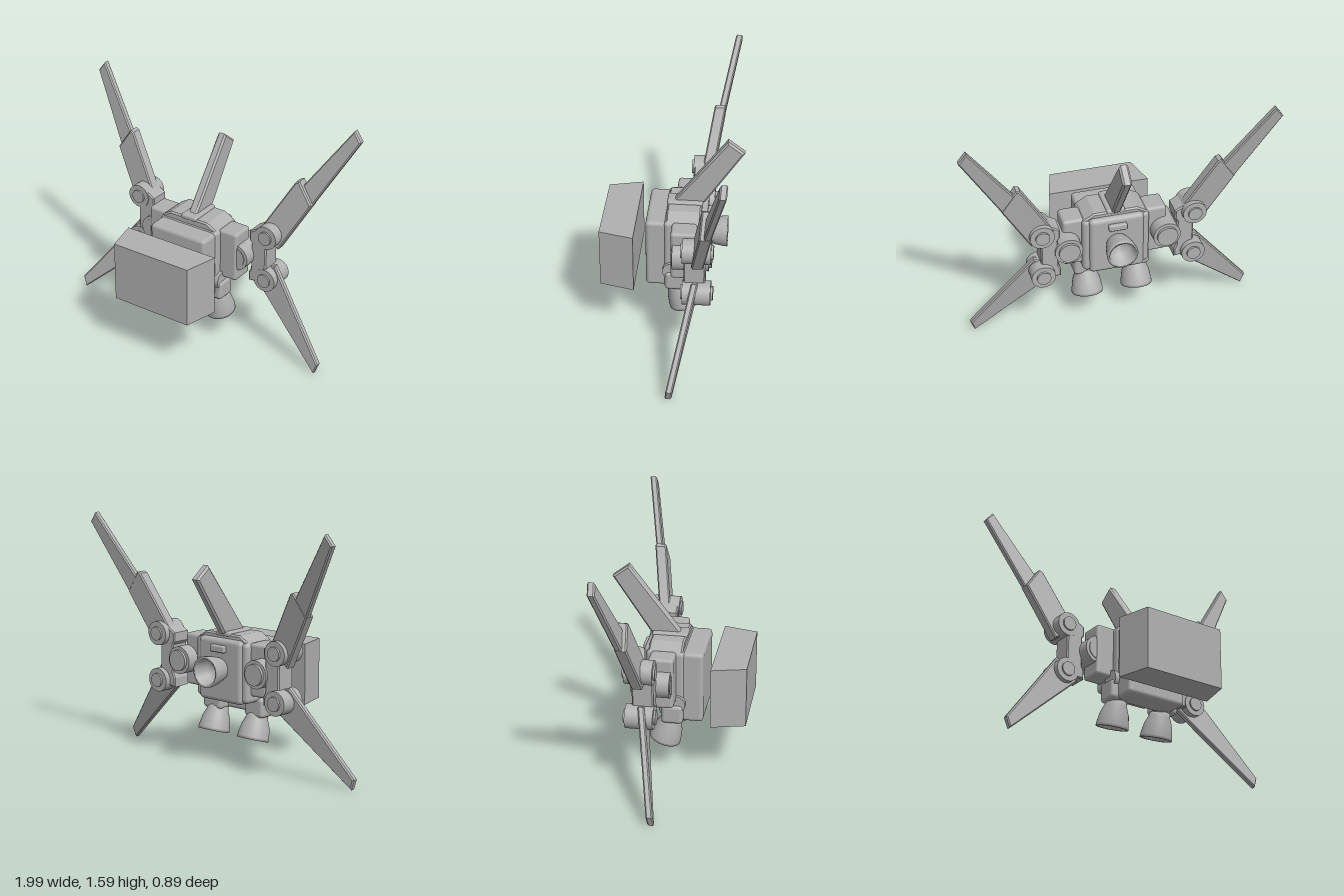
import * as THREE from 'three';
import { RoundedBoxGeometry } from 'three/addons/geometries/RoundedBoxGeometry.js';

export function createModel() {
  const grey = new THREE.MeshStandardMaterial({ color: 0xb0b0b0, side: THREE.DoubleSide });
  grey.name = 'light grey';
  const model = new THREE.Group();

  const add = (name, geo, x = 0, y = 0, z = 0) => {
    const m = new THREE.Mesh(geo, grey);
    m.name = name;
    m.position.set(x, y, z);
    model.add(m);
    return m;
  };
  // rounded box given by its limits
  const box = (name, x0, x1, y0, y1, z0, z1, r = 0.02) =>
    add(name, new RoundedBoxGeometry(x1 - x0, y1 - y0, z1 - z0, 2, r),
      (x0 + x1) / 2, (y0 + y1) / 2, (z0 + z1) / 2);
  // round pin along z
  const pin = (name, x, y, z0, z1, r) => {
    const g = new THREE.CylinderGeometry(r, r, z1 - z0, 32).rotateX(Math.PI / 2);
    return add(name, g, x, y, (z0 + z1) / 2);
  };
  // bevelled plate, centred on its own depth
  const plate = (pts, depth, bevel = 0.008) => {
    const shape = new THREE.Shape(pts.map(p => new THREE.Vector2(...p)));
    return new THREE.ExtrudeGeometry(shape, {
      depth: depth - 2 * bevel, bevelThickness: bevel, bevelSize: bevel,
      bevelOffset: -bevel, bevelSegments: 1,
    }).translate(0, 0, bevel - depth / 2);
  };
  // hollow engine bell opening towards -y
  const bell = (name, r0, r1, h, x, y, z, tilt) => {
    const profile = [[0, 0], [r0, 0], [r0 * 1.12, -h * 0.2], [r0 + (r1 - r0) * 0.7, -h * 0.5],
      [r1, -h * 0.9], [r1, -h], [r1 - 0.015, -h], [r0, -h * 0.4], [0, -h * 0.3]];
    const g = new THREE.LatheGeometry(profile.map(p => new THREE.Vector2(...p)).reverse(), 32);
    add(name, g, x, y, z).rotation.x = tilt;
  };

  // front shield, a tapered prism
  const shield = new THREE.Shape([[-0.335, -0.23], [0.335, -0.23], [0.28, -0.45], [-0.28, -0.45]]
    .map(p => new THREE.Vector2(...p)));
  add('frontShield', new THREE.ExtrudeGeometry(shield, { depth: 0.4, bevelEnabled: false })
    .rotateX(-Math.PI / 2), 0, 0.38, 0);

  // body
  box('chestBlock', -0.21, 0.21, 0.34, 0.82, -0.02, 0.165, 0.025);
  box('mainBody', -0.22, 0.22, 0.44, 0.83, -0.2, 0.05, 0.03);
  const top = plate([[-0.21, 0.82], [-0.2, 0.835], [-0.14, 0.87], [0.14, 0.87], [0.2, 0.835], [0.21, 0.82]], 0.22, 0.01);
  add('bodyTop', top, 0, 0, -0.075);
  box('finBase', -0.06, 0.06, 0.85, 0.885, -0.19, 0.04, 0.015);
  box('rearPanel', -0.18, 0.18, 0.43, 0.84, -0.22, -0.15, 0.03);
  box('rearVent', -0.06, 0.06, 0.755, 0.8, -0.245, -0.2, 0.01);
  bell('rearEngine', 0.068, 0.1, 0.15, 0, 0.645, -0.2, Math.PI / 2);

  // raked top fin
  const fin = plate([[0, 0.87], [0.2, 0.87], [0.445, 1.24], [0.34, 1.32]], 0.06, 0.012);
  add('topFin', fin.rotateY(Math.PI / 2));

  for (const s of [1, -1]) {
    const side = s > 0 ? 'left' : 'right';
    const span = (name, a, b, ...rest) => box(name, Math.min(s * a, s * b), Math.max(s * a, s * b), ...rest);

    // lower engine with its mount
    span(side + 'HipBlock', 0.1, 0.255, 0.335, 0.465, -0.1, 0.04, 0.025);
    add(side + 'HipRoller', new THREE.CylinderGeometry(0.06, 0.06, 0.14, 24).rotateZ(Math.PI / 2), s * 0.17, 0.47, -0.005);
    bell(side + 'LowerEngine', 0.062, 0.103, 0.18, s * 0.168, 0.36, -0.035, 0.3);

    // shoulder and wing bracket
    span(side + 'Shoulder', 0.2, 0.34, 0.49, 0.83, -0.165, -0.005, 0.02);
    pin(side + 'ShoulderJoint', s * 0.322, 0.66, -0.25, -0.02, 0.09);
    pin(side + 'ShoulderCap', s * 0.322, 0.66, -0.268, -0.015, 0.068);
    const bracket = [[0.375, 0.83], [0.43, 0.86], [0.5, 0.82], [0.5, 0.52], [0.44, 0.475],
      [0.375, 0.47], [0.375, 0.53], [0.39, 0.56], [0.39, 0.75], [0.375, 0.77]];
    add(side + 'WingBracket', plate(bracket.map(([x, y]) => [s * x, y]), 0.135), 0, 0, -0.168);

    // hinges
    for (const [level, y] of [['Upper', 0.818], ['Lower', 0.508]]) {
      pin(side + level + 'Hinge', s * 0.495, y, -0.272, -0.095, 0.078);
      pin(side + level + 'HingeCap', s * 0.495, y, -0.286, -0.083, 0.045);
    }

    // wings lean in depth along their length
    const wing = (name, pts, depth, y0, dir, z0, slope) => {
      const g = plate(pts.map(([x, y]) => [s * x, y]), depth);
      const p = g.attributes.position;
      for (let i = 0; i < p.count; i++) {
        const along = (s * p.getX(i) - 0.49) * dir[0] + (p.getY(i) - y0) * dir[1];
        p.setZ(i, p.getZ(i) + z0 + slope * along);
      }
      g.computeVertexNormals();
      add(side + name, g);
    };
    const up = [0.55, 0.835], down = [0.67, -0.74];
    wing('UpperWing', [[0.46, 0.88], [0.945, 1.585], [0.995, 1.52], [0.57, 0.76]], 0.045, 0.82, up, -0.195, -0.185);
    wing('UpperWingRoot', [[0.43, 0.86], [0.625, 1.2], [0.65, 1.21], [0.745, 1.07], [0.555, 0.727], [0.45, 0.79]],
      0.075, 0.82, up, -0.195, -0.15);
    wing('LowerWing', [[0.39, 0.47], [0.43, 0.56], [0.54, 0.6], [0.95, 0.07], [0.925, 0.0]], 0.042, 0.51, down, -0.165, 0.185);
  }
  return model;
}
